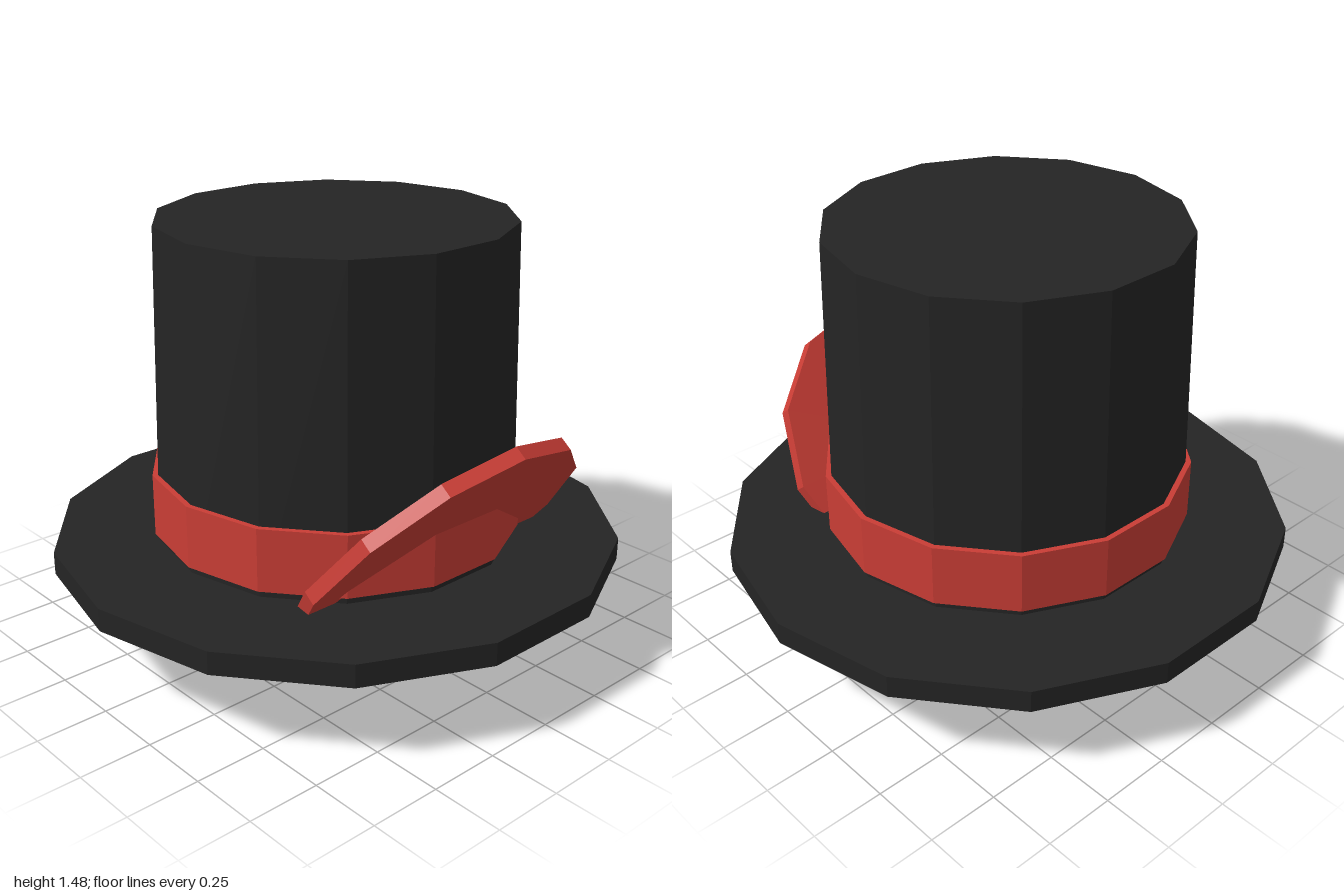
import * as THREE from 'three';

export function createModel() {
  const hat = new THREE.Group();
  hat.name = 'topHat';

  const black = new THREE.MeshStandardMaterial({ name: 'black felt', color: 0x242424, flatShading: true });
  const red = new THREE.MeshStandardMaterial({ name: 'red ribbon', color: 0xc93d35, flatShading: true });

  // Faceted upright drum between two heights
  function drum(name, rTop, rBottom, y0, y1, sides, material) {
    const geometry = new THREE.CylinderGeometry(rTop, rBottom, y1 - y0, sides);
    const mesh = new THREE.Mesh(geometry, material);
    mesh.name = name;
    mesh.position.y = (y0 + y1) / 2;
    hat.add(mesh);
    return mesh;
  }

  // Hat body
  drum('brim', 1, 1, 0.295, 0.375, 14, black);
  drum('crown', 0.61, 0.637, 0.34, 1.48, 14, black);
  drum('band', 0.65, 0.65, 0.4, 0.62, 14, red);

  // Tilted disc tucked through the brim and band on the left side
  const disc = drum('sideDisc', 0.555, 0.555, 0.426, 0.476, 12, red);
  disc.position.x = 0.497;
  disc.rotation.z = THREE.MathUtils.degToRad(51.7);

  return hat;
}
